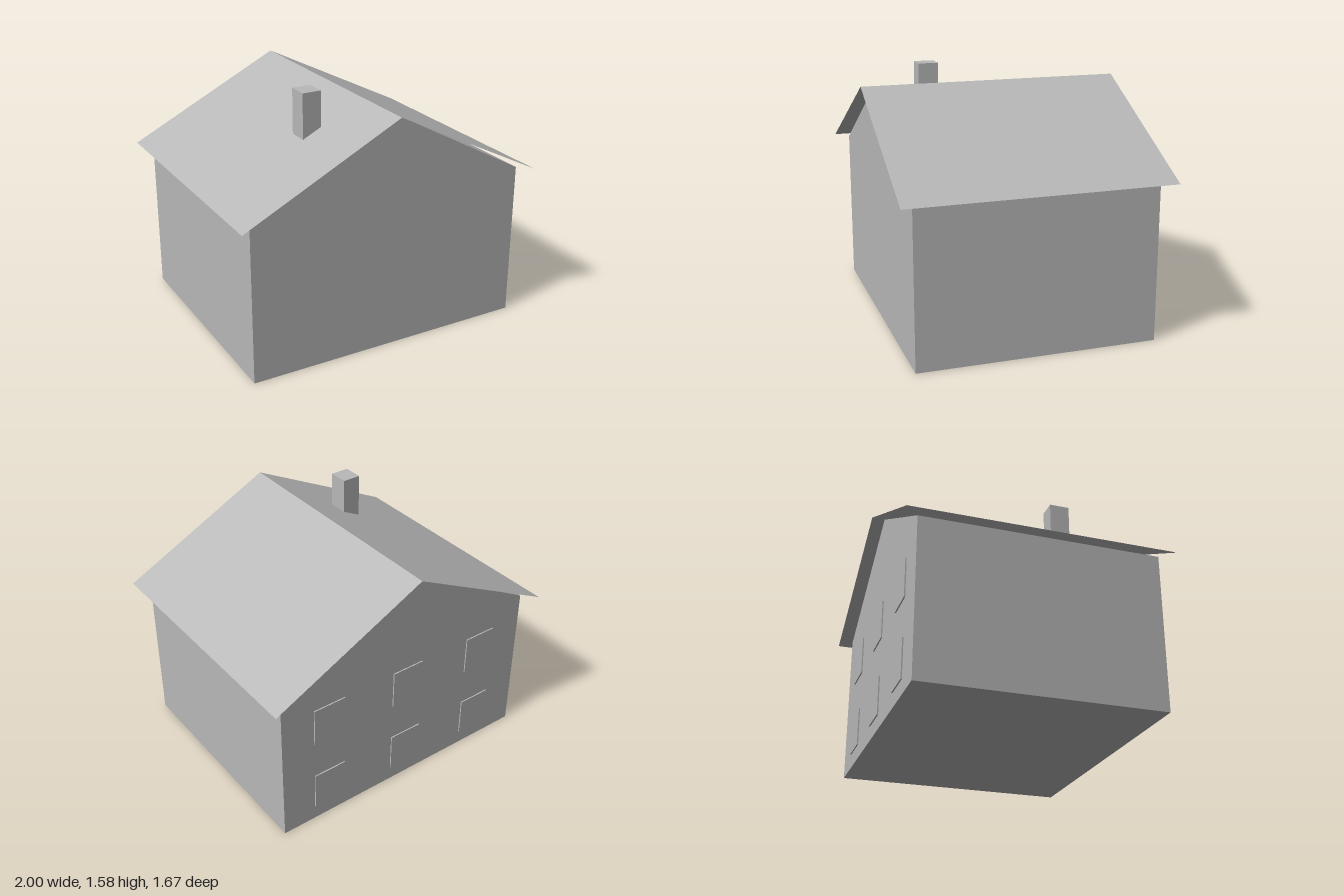
import * as THREE from 'three';

export function createModel() {
  const group = new THREE.Group();
  group.name = 'house';
  const grey = new THREE.MeshStandardMaterial({ color: 0xb8b8b8, side: THREE.DoubleSide });
  grey.name = 'plain grey';

  const add = (name, geometry, x = 0, y = 0, z = 0) => {
    const mesh = new THREE.Mesh(geometry, grey);
    mesh.name = name;
    mesh.position.set(x, y, z);
    group.add(mesh);
    return mesh;
  };

  // Walls: gabled outline extruded from back to front
  const halfW = 0.917, halfD = 0.75, eaveY = 1, ridgeY = 1.5;
  const outline = new THREE.Shape([
    new THREE.Vector2(-halfW, 0),
    new THREE.Vector2(halfW, 0),
    new THREE.Vector2(halfW, eaveY),
    new THREE.Vector2(0, ridgeY),
    new THREE.Vector2(-halfW, eaveY),
  ]);
  add('walls', new THREE.ExtrudeGeometry(outline, { depth: halfD * 2, bevelEnabled: false }), 0, 0, -halfD);

  // Roof: two thin sheets overhanging the walls on every side
  const rise = ridgeY - eaveY;
  for (const side of [-1, 1]) {
    const sheet = new THREE.PlaneGeometry(Math.hypot(1, rise), 1.666).rotateX(-Math.PI / 2);
    const slope = add(side > 0 ? 'leftRoof' : 'rightRoof', sheet, side * 0.5, eaveY + rise / 2, 0);
    slope.rotation.z = -side * Math.atan(rise);
  }

  // Chimney
  add('chimney', new THREE.BoxGeometry(0.12, 0.333, 0.13), -0.338, 1.417, 0.333);

  // Windows: two rows of three thin panels on the back wall
  for (const y of [0.22, 0.72]) {
    for (const x of [-0.583, 0, 0.583]) {
      add('window', new THREE.BoxGeometry(0.22, 0.25, 0.008), x, y, -halfD - 0.004);
    }
  }

  return group;
}
